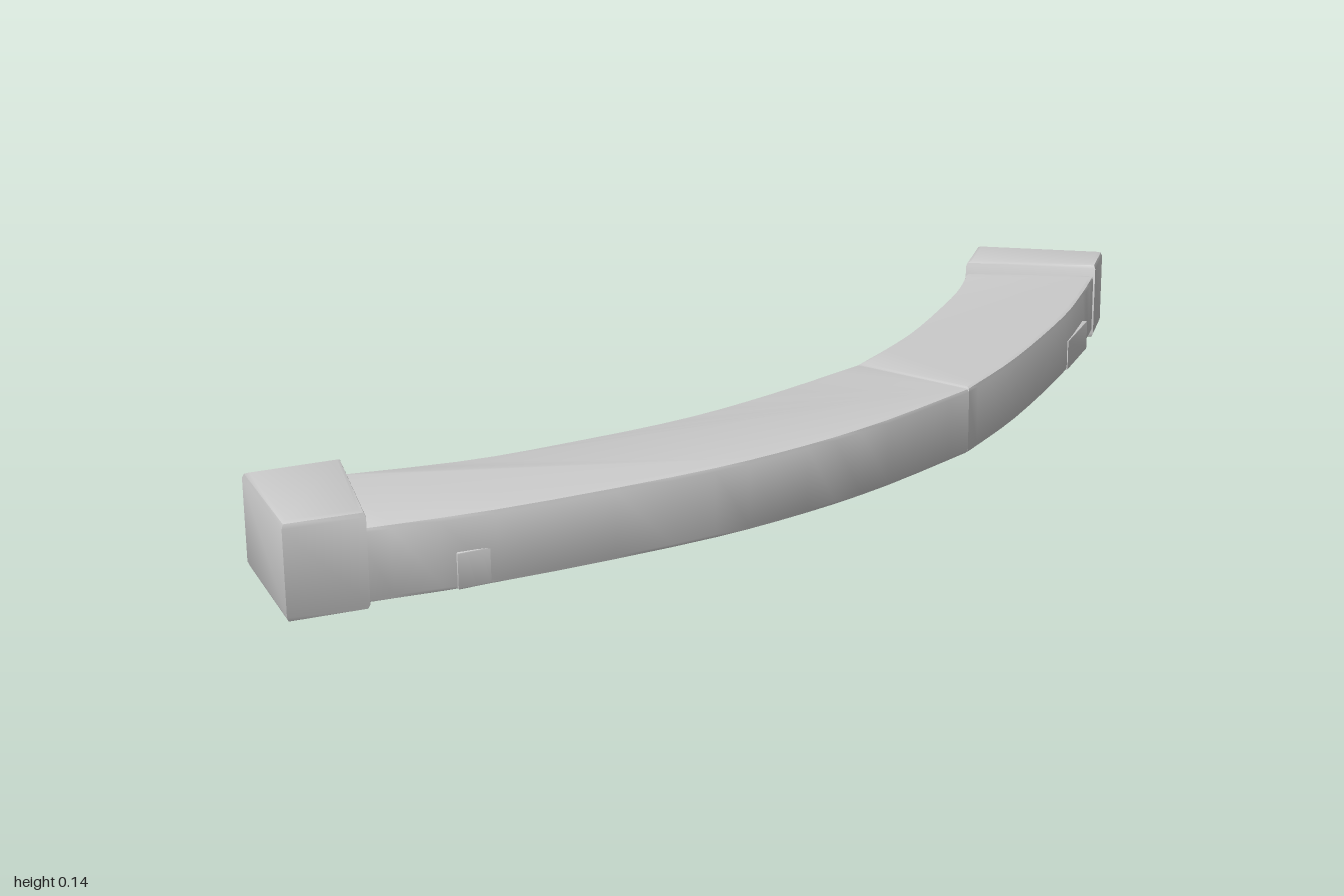
import * as THREE from 'three';
import { toCreasedNormals } from 'three/addons/utils/BufferGeometryUtils.js';

const material = new THREE.MeshStandardMaterial({ color: 0xcccccc });
const toVectors = (pairs) => pairs.map(([x, z]) => new THREE.Vector2(x, z));

// Solid with a plan outline in (x, z), rising from y0 to y1, with softened edges
function slab(name, outline, y0, y1, bevel) {
  const geometry = new THREE.ExtrudeGeometry(new THREE.Shape(outline), {
    depth: y1 - y0 - 2 * bevel,
    bevelThickness: bevel,
    bevelSize: bevel,
    bevelOffset: -bevel,
    bevelSegments: 2,
  });
  geometry.rotateX(Math.PI / 2);
  geometry.translate(0, y1 - bevel, 0);
  const mesh = new THREE.Mesh(toCreasedNormals(geometry, 0.6), material);
  mesh.name = name;
  return mesh;
}

// Curved beam section between an outer (front) and an inner (back) edge
function beam(name, outer, inner) {
  const edge = (pairs) => new THREE.SplineCurve(toVectors(pairs)).getPoints(16);
  return slab(name, [...edge(outer), ...edge(inner).reverse()], 0.01, 0.119, 0.007);
}

export function createModel() {
  const group = new THREE.Group();
  group.name = 'curvedBeam';

  // Two beam sections meeting at a fine seam
  group.add(beam('rightBeam',
    [[-0.91, -0.003], [-0.72, 0.09], [-0.45, 0.187], [-0.265, 0.23], [-0.08, 0.25], [0.147, 0.25]],
    [[-0.79, -0.212], [-0.61, -0.107], [-0.45, -0.05], [-0.265, 0.0], [-0.08, 0.021], [0.147, 0.027]]));
  group.add(beam('leftBeam',
    [[0.147, 0.25], [0.35, 0.205], [0.617, 0.123], [0.78, 0.058], [0.91, 0.0]],
    [[0.147, 0.027], [0.35, -0.02], [0.564, -0.096], [0.68, -0.145], [0.79, -0.205]]));

  // Taller end blocks
  group.add(slab('rightEndBlock',
    toVectors([[-1, -0.045], [-0.893, -0.256], [-0.762, -0.198], [-0.897, 0.004]]), 0, 0.142, 0.009));
  group.add(slab('leftEndBlock',
    toVectors([[1, -0.04], [0.9, 0.008], [0.764, -0.19], [0.89, -0.252]]), 0, 0.142, 0.009));

  // Shallow tapered ledges low on the front face near each end
  for (const side of [-1, 1]) {
    const plan = [[0.65, 0.113], [0.79, 0.063], [0.77, 0.02], [0.65, 0.07]];
    group.add(slab(side > 0 ? 'leftLedge' : 'rightLedge',
      toVectors(plan.map(([x, z]) => [side * x, z])), 0.012, 0.065, 0.002));
  }
  return group;
}
